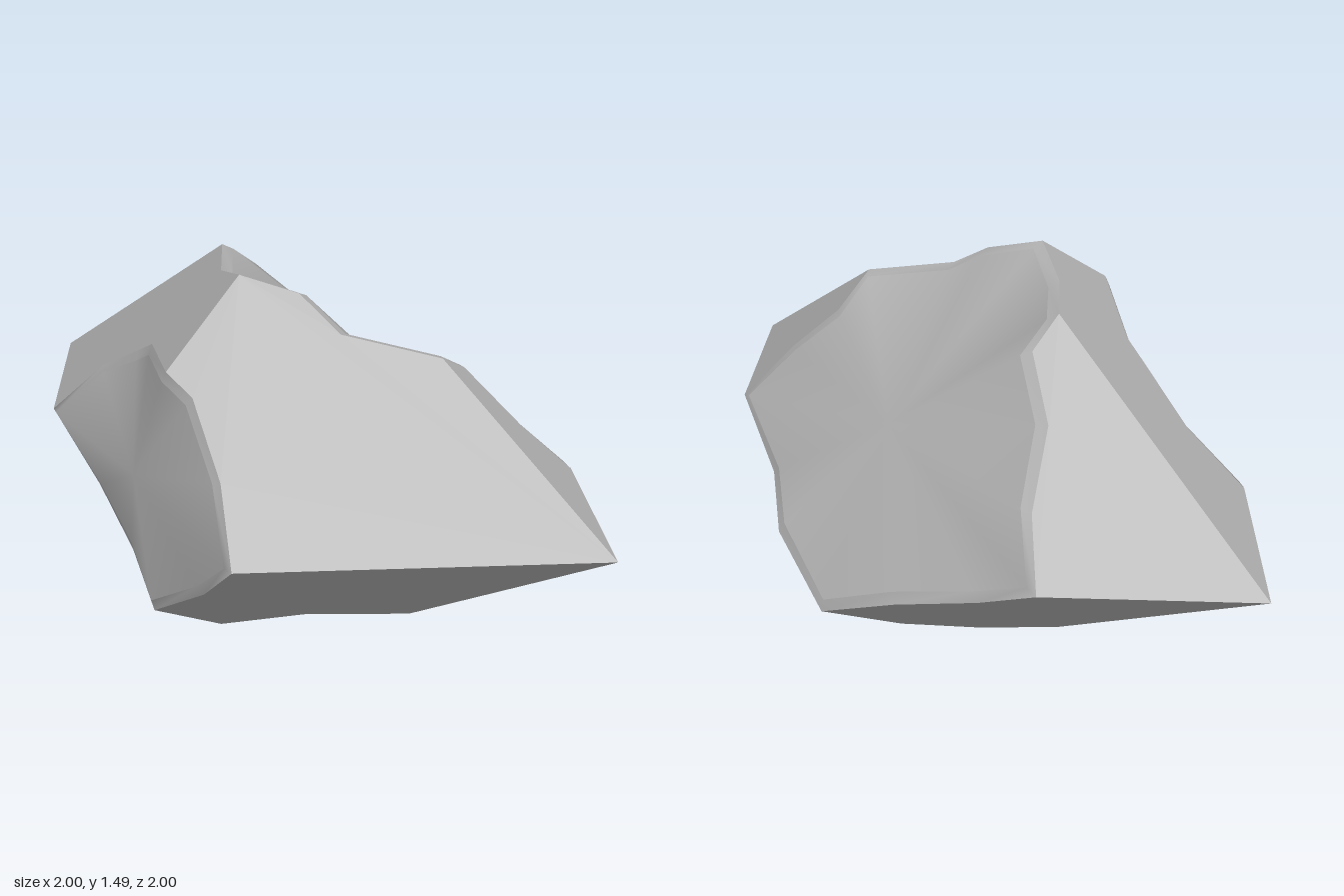
import * as THREE from 'three';

const MID = 0.735;   // height of the square equator
const RISE = 0.98;   // height of each pyramid half

// Points on the double pyramid, given as [x, z] on the upper or lower half
const onStone = (list, side) => list.map(([x, z]) =>
  new THREE.Vector3(x, MID + side * RISE * (1 - Math.max(Math.abs(x), Math.abs(z))), z));

function mesh(name, points, index, material) {
  const g = new THREE.BufferGeometry().setFromPoints(points);
  g.setIndex(index);
  g.computeVertexNormals();
  const m = new THREE.Mesh(g, material);
  m.name = name;
  return m;
}

// Flat side of the stone, turned so that it faces outwards
function flatSide(name, outline, side, material) {
  const pts = onStone(outline, side);
  const flat = outline.map(([x, z]) => new THREE.Vector2(x, z));
  const index = [];
  for (const [a, b, c] of THREE.ShapeUtils.triangulateShape(flat, [])) {
    const up = new THREE.Vector3().subVectors(pts[b], pts[a])
      .cross(new THREE.Vector3().subVectors(pts[c], pts[a])).y;
    if (up * side > 0) index.push(a, b, c); else index.push(a, c, b);
  }
  return mesh(name, pts, index, material);
}

// Broken corner: a narrow worn rim around a smooth fan that meets in one centre point
function brokenArea(name, rim, centre, axis, inset, push, material) {
  const group = new THREE.Group();
  group.name = name;
  const n = rim.length;
  const out = new THREE.Vector3(...axis).normalize().multiplyScalar(push);
  const mid = new THREE.Vector3(...centre);
  const inner = rim.map(p => {
    const d = p.distanceTo(mid);
    return p.clone().lerp(mid, inset / d).add(out);
  });
  const ring = [], fan = [];
  for (let i = 0; i < n; i++) {
    const j = (i + 1) % n;
    ring.push(i, j, n + j, i, n + j, n + i);
    fan.push(n, i, j);
  }
  group.add(mesh(name + 'Rim', [...rim, ...inner], ring, material));
  group.add(mesh(name + 'Surface', [...inner, mid], fan, material));
  return group;
}

export function createModel() {
  const model = new THREE.Group();
  model.name = 'brokenStone';
  const stone = new THREE.MeshStandardMaterial({ color: 0xb0b0b0 });
  stone.name = 'stoneGrey';

  // Whole corners of the equator, and ends of the breaks on it
  const backCorner = [-1, -1], frontCorner = [1, 1];
  const rightEnd = [1, 0.335], backEnd = [-0.23, -1];
  const leftEnd = [-1, -0.3], frontEnd = [-0.28, 1];

  // Points where the breaks cross the sloping ridges
  const topFL = [-0.23, 0.23], topFR = [0.47, 0.47], topBL = [-0.29, -0.29];
  const chipTop = [-0.49, 0.49], chipLow = [-0.57, 0.57], bigLow = [0.57, -0.57];
  const lowFL = [-0.33, 0.33], lowFR = [0.4, 0.4], lowBR = [0.3, -0.3], lowBL = [-0.32, -0.32];

  // Break lines across the flat sides
  const bigFront = [[-0.02, 0.285], [0.12, 0.4]];
  const bigRight = [[0.58, 0.31], [0.79, 0.385]];
  const bigLowRight = [[0.83, 0], [0.76, -0.32]];
  const bigLowBack = [[0.27, -0.77], [-0.03, -0.855]];
  const bigBack = [[-0.21, -0.8], [-0.26, -0.58], [-0.2, -0.39]];
  const bigLeft = [[-0.295, 0]];
  const chipLeft = [[-0.78, -0.24], [-0.62, -0.01], [-0.56, 0.07]];
  const chipFront = [[-0.4, 0.56], [-0.31, 0.78]];
  const chipLowFront = [[-0.38, 0.76]];
  const chipLowLeft = [[-0.66, 0.28], [-0.8, 0]];
  const baseFront = [0, 0.445], baseRight = [0.38, 0], baseBack = [0, -0.25], baseLeft = [-0.37, 0.05];
  const rev = a => [...a].reverse();

  // Flat upper and lower sides
  const sides = [
    ['upperFront', 1, [chipTop, ...chipFront, frontEnd, frontCorner, topFR, ...rev(bigFront), topFL]],
    ['upperRight', 1, [topFR, frontCorner, rightEnd, ...rev(bigRight)]],
    ['upperLeft', 1, [backCorner, leftEnd, ...chipLeft, chipTop, topFL, ...bigLeft, topBL]],
    ['upperBack', 1, [backCorner, topBL, ...rev(bigBack), backEnd]],
    ['lowerFront', -1, [frontEnd, frontCorner, lowFR, baseFront, lowFL, chipLow, ...chipLowFront]],
    ['lowerRight', -1, [frontCorner, rightEnd, ...bigLowRight, bigLow, lowBR, baseRight, lowFR]],
    ['lowerBack', -1, [backEnd, backCorner, lowBL, baseBack, lowBR, bigLow, ...bigLowBack]],
    ['lowerLeft', -1, [backCorner, leftEnd, ...rev(chipLowLeft), chipLow, lowFL, baseLeft, lowBL]],
  ];
  for (const [name, side, outline] of sides) model.add(flatSide(name + 'Side', outline, side, stone));

  // Large break across the top and the back right corner
  const bigRim = [
    ...onStone([topFL, ...bigFront, topFR, ...bigRight, rightEnd], 1),
    ...onStone([...bigLowRight, bigLow, ...bigLowBack], -1),
    ...onStone([backEnd, ...bigBack, topBL, ...bigLeft], 1),
  ];
  model.add(brokenArea('largeBreak', bigRim, [0.33, 0.94, -0.24], [0.6, 0.6, -0.55], 0.045, 0.012, stone));

  // Chip on the front left corner
  const chipRim = [
    ...onStone([leftEnd, ...chipLeft, chipTop, ...chipFront, frontEnd], 1),
    ...onStone([...chipLowFront, chipLow, ...chipLowLeft], -1),
  ].reverse();
  model.add(brokenArea('cornerChip', chipRim, [-0.635, 0.77, 0.36], [-0.7, 0, 0.7], 0.04, 0.008, stone));

  // Break underneath
  const baseRim = onStone([lowFL, baseFront, lowFR, baseRight, lowBR, baseBack, lowBL, baseLeft], -1).reverse();
  model.add(brokenArea('baseBreak', baseRim, [-0.04, 0.125, 0.05], [0, -1, 0], 0.03, 0, stone));

  return model;
}
